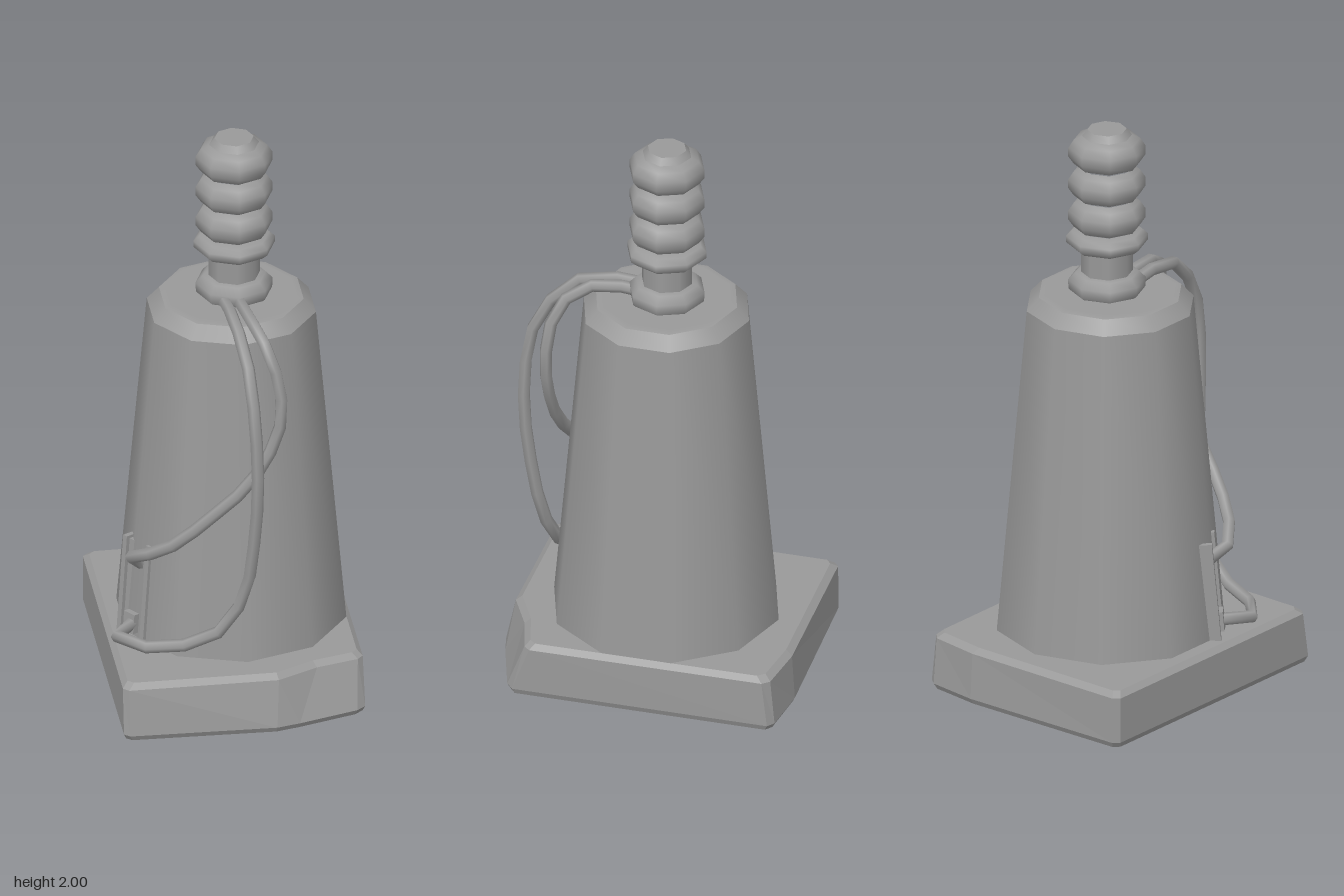
import * as THREE from 'three';
import { mergeGeometries } from 'three/addons/utils/BufferGeometryUtils.js';

const COLOR = 0x999999;
const material = new THREE.MeshStandardMaterial({ color: COLOR });
const insideMaterial = new THREE.MeshStandardMaterial({ color: COLOR, side: THREE.BackSide });

function addMesh(parent, name, geometry, mat = material) {
  const mesh = new THREE.Mesh(geometry, mat);
  mesh.name = name;
  parent.add(mesh);
  return mesh;
}

// Flat-shaded skin over a stack of rings of [x, y, z], closed by a fan on the last ring.
function skin(rings) {
  const pos = [];
  const tri = (...corners) => corners.forEach((p) => pos.push(...p));
  const n = rings[0].length;
  for (let r = 0; r < rings.length - 1; r++) {
    for (let i = 0; i < n; i++) {
      const j = (i + 1) % n;
      const a = rings[r][i], b = rings[r][j], c = rings[r + 1][j], d = rings[r + 1][i];
      tri(a, d, c);
      tri(a, c, b);
    }
  }
  const top = rings[rings.length - 1];
  for (let i = 0; i < n; i++) tri(top[i], [0, top[i][1], 0], top[(i + 1) % n]);
  const geometry = new THREE.BufferGeometry();
  geometry.setAttribute('position', new THREE.Float32BufferAttribute(pos, 3));
  geometry.computeVertexNormals();
  return geometry;
}

// Turned part from bands of [radius, y]: smooth within a band, sharp between bands.
function turned(bands, sides) {
  return mergeGeometries(bands.map((band) =>
    new THREE.LatheGeometry(band.map(([r, y]) => new THREE.Vector2(r, y)), sides)));
}

function cable(points) {
  const curve = new THREE.CatmullRomCurve3(points.map((p) => new THREE.Vector3(...p)));
  return new THREE.TubeGeometry(curve, 15, 0.022, 6);
}

function addBase(parent) {
  // Outlines of the worn slab, front left corner cut back
  const low = [[-0.42, -0.485], [-0.4, -0.505], [0.21, -0.525], [0.39, -0.505], [0.415, -0.485], [0.415, 0.41],
    [0.385, 0.435], [0.18, 0.5], [0.1, 0.52], [-0.4, 0.512], [-0.42, 0.495]];
  const high = [[-0.42, -0.485], [-0.4, -0.503], [0.21, -0.515], [0.39, -0.49], [0.412, -0.465], [0.415, 0.35],
    [0.395, 0.372], [0.25, 0.412], [0.11, 0.483], [-0.4, 0.487], [-0.42, 0.468]];
  const ring = (outline, y, s) => outline.map(([x, z]) => [x * s, y, z * s]);
  const ceiling = ring(high, 0.165, 0.95);
  addMesh(parent, 'base', skin([
    ceiling, ring(low, 0, 0.965), ring(low, 0, 0.98), ring(low, 0.02, 1),
    ring(high, 0.182, 1), ring(high, 0.2, 0.955),
  ]));

  // Hollow underside with a shallow ten-sided recess
  const shape = new THREE.Shape(ceiling.map(([x, , z]) => new THREE.Vector2(x, z)));
  const hole = [];
  for (let i = 0; i < 10; i++) {
    const a = (i / 10) * Math.PI * 2;
    hole.push(new THREE.Vector2(0.02 + Math.sin(a) * 0.365, -0.02 + Math.cos(a) * 0.365));
  }
  shape.holes.push(new THREE.Path(hole));
  addMesh(parent, 'baseCeiling', new THREE.ShapeGeometry(shape).rotateX(Math.PI / 2)).position.y = 0.165;
  addMesh(parent, 'recessWall', new THREE.CylinderGeometry(0.365, 0.365, 0.03, 10, 1, true), insideMaterial)
    .position.set(0.02, 0.18, -0.02);
  addMesh(parent, 'recessFloor', new THREE.CircleGeometry(0.37, 10, Math.PI / 2).rotateX(Math.PI / 2))
    .position.set(0.02, 0.193, -0.02);
}

function addPost(parent) {
  // Foot ring, neck and collar, then three bulging insulator beads and a small cap
  const bands = [
    [[0.11, 1.4], [0.13, 1.418], [0.132, 1.452], [0.108, 1.477], [0.085, 1.48]],
    [[0.088, 1.47], [0.088, 1.572]],
    [[0.085, 1.57], [0.12, 1.573], [0.139, 1.59], [0.139, 1.612], [0.12, 1.63], [0.09, 1.635]],
  ];
  for (const y of [1.69, 1.805, 1.921]) {
    bands.push([[0.085, y - 0.056], [0.113, y - 0.044], [0.131, y - 0.018], [0.131, y + 0.014],
      [0.113, y + 0.042], [0.085, y + 0.056]]);
  }
  bands.push([[0.085, 1.977], [0.067, 2]], [[0.067, 2], [0, 2]]);
  addMesh(parent, 'insulatorPost', turned(bands, 8)).position.set(0.03, 0, -0.025);
}

function addBracket(parent) {
  // Thin plate between two upright flanges, lying on one sloping face of the tower
  const bracket = new THREE.Group();
  bracket.name = 'cableBracket';
  bracket.position.set(-0.325, 0.19, 0.115);
  bracket.rotation.set(-0.09, -0.3 * Math.PI, 0, 'YXZ');
  const box = (name, w, h, d, x, y, z) =>
    addMesh(bracket, name, new THREE.BoxGeometry(w, h, d)).position.set(x, y, z);
  box('plate', 0.1, 0.35, 0.022, 0, 0.175, 0.005);
  for (const side of [-1, 1]) box('plateFlange', 0.018, 0.36, 0.05, side * 0.055, 0.18, 0.005);
  box('socket', 0.05, 0.07, 0.04, 0, 0.06, 0.02);
  parent.add(bracket);
}

export function createModel() {
  const model = new THREE.Group();
  model.name = 'insulatorTower';

  addBase(model);

  // Ten-sided tapering tower with a bevelled top
  addMesh(model, 'tower', turned([
    [[0.395, 0.19], [0.29, 1.36]],
    [[0.29, 1.36], [0.248, 1.406]],
    [[0.248, 1.406], [0.226, 1.41], [0, 1.41]],
  ], 10)).position.set(0.02, 0, -0.02);

  addPost(model);
  addBracket(model);

  // Two slack cables from the post foot down to the bracket
  addMesh(model, 'frontCable', cable([
    [-0.02, 1.42, 0.03], [-0.01, 1.435, 0.17], [0, 1.42, 0.28], [0.02, 1.33, 0.385], [0.03, 1.2, 0.45],
    [0.04, 0.95, 0.475], [0.03, 0.7, 0.455], [0, 0.48, 0.42], [-0.08, 0.33, 0.385], [-0.22, 0.26, 0.34],
    [-0.36, 0.25, 0.29], [-0.405, 0.25, 0.22], [-0.38, 0.25, 0.16], [-0.33, 0.25, 0.12],
  ]));
  addMesh(model, 'sideCable', cable([
    [0.03, 1.42, 0.03], [0.04, 1.435, 0.17], [0.06, 1.42, 0.26], [0.1, 1.35, 0.34], [0.135, 1.2, 0.37],
    [0.125, 1.07, 0.37], [0.03, 0.88, 0.36], [-0.1, 0.74, 0.33], [-0.22, 0.62, 0.285], [-0.31, 0.55, 0.215],
    [-0.35, 0.51, 0.15], [-0.34, 0.48, 0.12], [-0.3, 0.46, 0.11],
  ]));

  return model;
}
